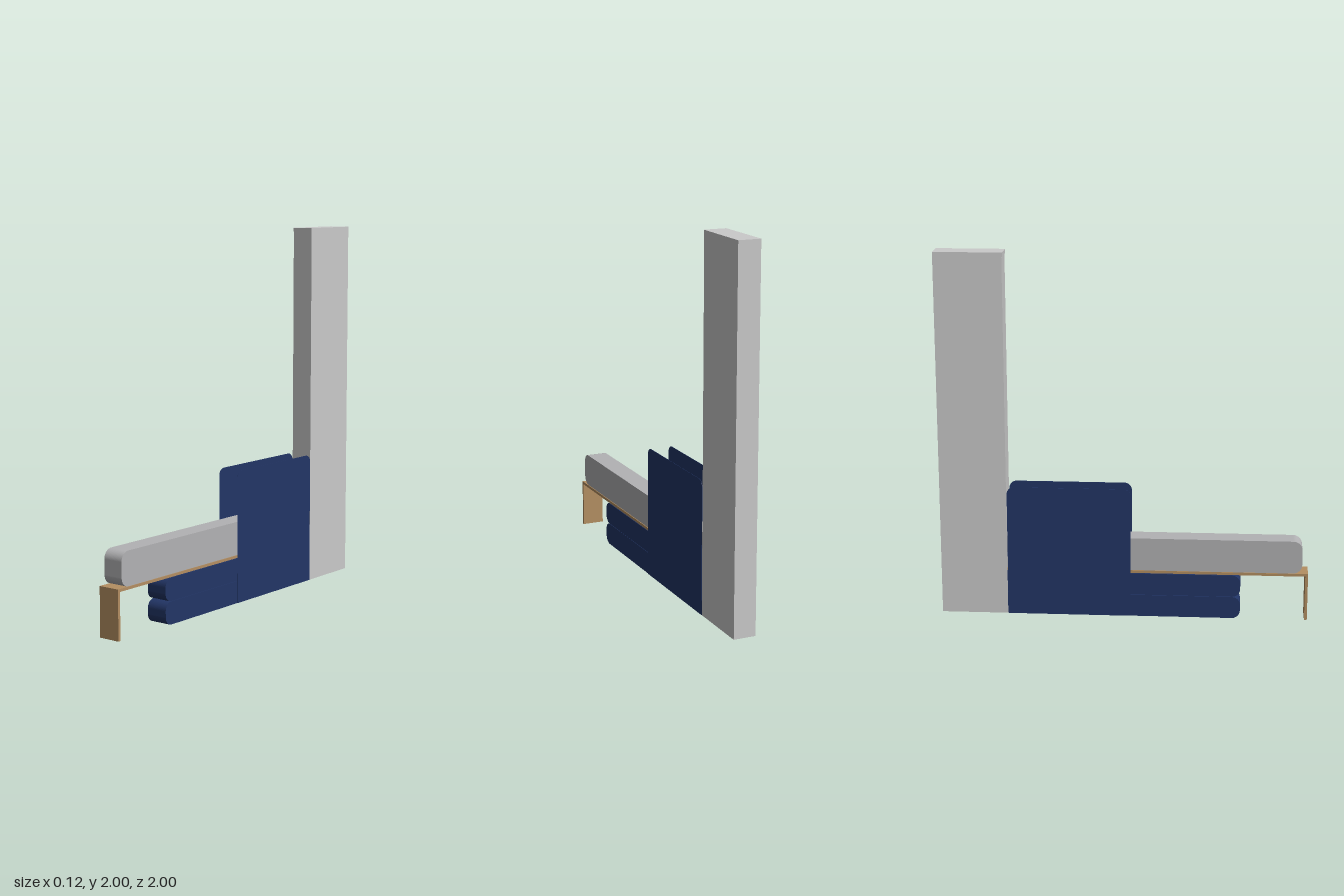
import * as THREE from 'three';

const mat = (name, color) => Object.assign(new THREE.MeshStandardMaterial({ color }), { name });

export function createModel() {
  const group = new THREE.Group();
  const wallGrey = mat('wall grey', 0xcacaca);
  const cushionGrey = mat('cushion grey', 0xb2b2b4);
  const navy = mat('navy fabric', 0x223566);
  const wood = mat('light wood', 0xb48f62);

  const add = (name, geometry, material) => {
    const mesh = new THREE.Mesh(geometry, material);
    mesh.name = name;
    group.add(mesh);
    return mesh;
  };

  // Box given by its half width and its y and z limits
  const box = (name, half, y0, y1, z0, z1, material) =>
    add(name, new THREE.BoxGeometry(half * 2, y1 - y0, z1 - z0), material)
      .position.set(0, (y0 + y1) / 2, (z0 + z1) / 2);

  // Side outline (z, y) with rounded corners, extruded across x.
  // Radii run: back bottom, front bottom, front top, back top.
  const slab = (name, x0, x1, y0, y1, z0, z1, radii, material) => {
    const [a, b, c, d] = radii;
    const s = new THREE.Shape();
    s.moveTo(z0 + a, y0);
    s.lineTo(z1 - b, y0);
    if (b) s.absarc(z1 - b, y0 + b, b, -Math.PI / 2, 0, false);
    s.lineTo(z1, y1 - c);
    if (c) s.absarc(z1 - c, y1 - c, c, 0, Math.PI / 2, false);
    s.lineTo(z0 + d, y1);
    if (d) s.absarc(z0 + d, y1 - d, d, Math.PI / 2, Math.PI, false);
    s.lineTo(z0, y0 + a);
    if (a) s.absarc(z0 + a, y0 + a, a, Math.PI, Math.PI * 1.5, false);
    const g = new THREE.ExtrudeGeometry(s, { depth: x1 - x0, bevelEnabled: false, curveSegments: 10 });
    g.rotateY(-Math.PI / 2); // outline x becomes z, depth becomes -x
    g.translate(x1, 0, 0);
    add(name, g, material);
  };

  // Tall back post with a narrow cap
  box('backPost', 0.061, 0, 1.978, -1, -0.637, wallGrey);
  box('backPostCap', 0.061, 1.978, 2, -1, -0.633, wallGrey);

  // Wooden top board and front leg
  box('topBoard', 0.061, 0.25, 0.265, -0.637, 1, wood);
  box('frontLeg', 0.061, 0, 0.25, 0.985, 1, wood);

  // Long cushion lying on the board
  slab('longCushion', -0.057, 0.057, 0.265, 0.447, -0.637, 0.967, [0, 0.05, 0.05, 0], cushionGrey);

  // Two stacked pads below the board
  for (const [name, y] of [['lowerPad', 0], ['upperPad', 0.124]])
    slab(name, -0.06, 0.06, y, y + 0.122, -0.637, 0.635, [0, 0.045, 0.045, 0], navy);

  // Thin side panels, mirrored
  for (const [name, x] of [['leftPanel', 0.0605], ['rightPanel', -0.0625]])
    slab(name, x, x + 0.002, 0, 0.725, -0.634, 0.037, [0, 0, 0.04, 0.04], navy);

  return group;
}
